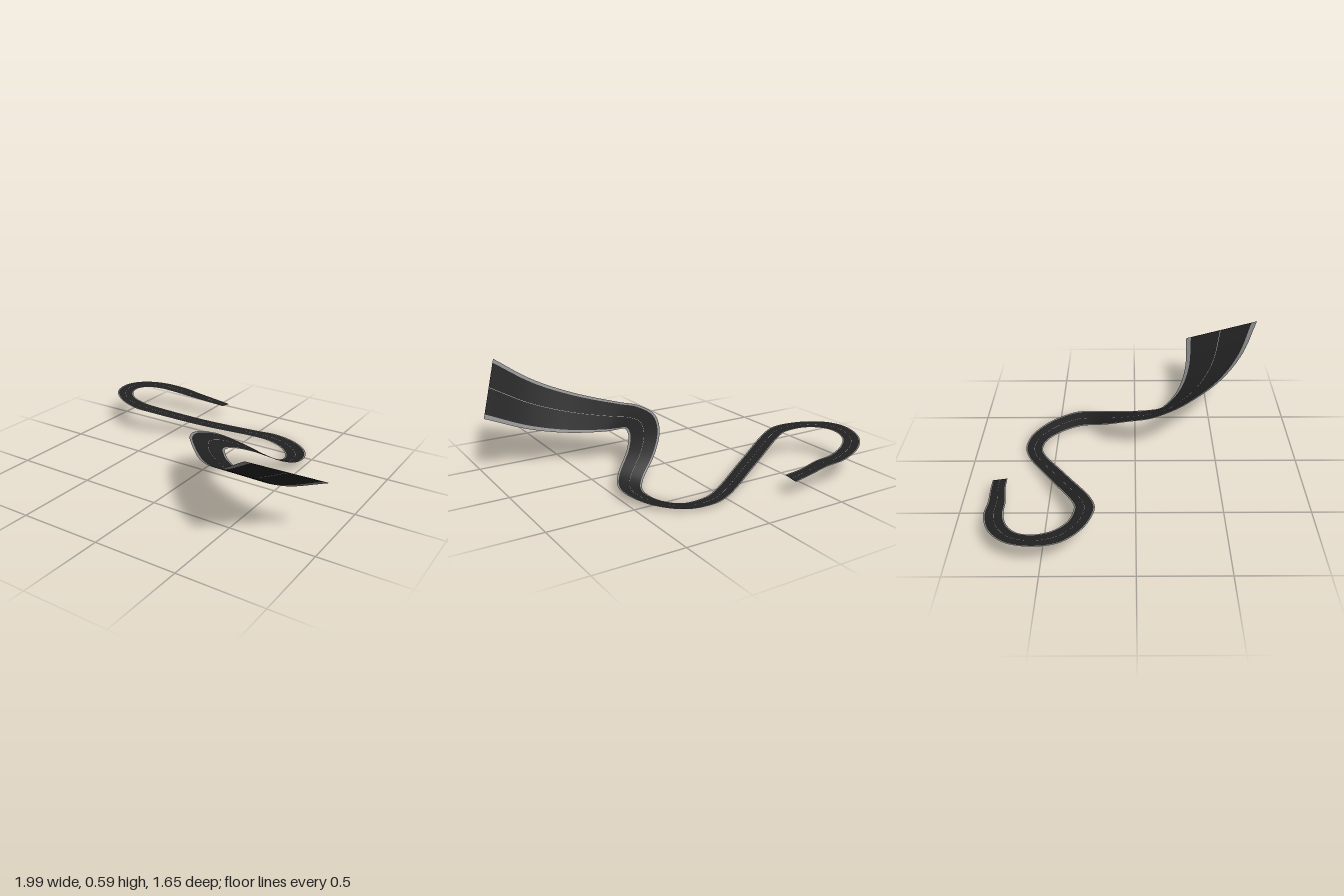
import * as THREE from 'three';

const STEPS = 260;

// Matching points along the two borders of the road, from its narrow end to its wide end
const borderA = [
  [-0.32, 0.097, -0.83], [-0.43, 0.113, -0.825], [-0.56, 0.133, -0.815], [-0.69, 0.148, -0.818],
  [-0.85, 0.173, -0.765], [-0.957, 0.193, -0.663], [-1, 0.207, -0.52], [-0.973, 0.207, -0.385],
  [-0.856, 0.2, -0.273], [-0.69, 0.187, -0.22], [-0.588, 0.173, -0.24], [-0.267, 0.092, -0.401],
  [0.053, 0.024, -0.572], [0.134, 0.013, -0.586], [0.24, 0.002, -0.56], [0.326, 0.006, -0.47],
  [0.358, 0.02, -0.38], [0.353, 0.033, -0.33], [0.32, 0.058, -0.283], [0.176, 0.158, -0.176],
  [0.07, 0.245, -0.053], [0.021, 0.3, 0.096], [0.06, 0.328, 0.225], [0.14, 0.335, 0.326],
  [0.35, 0.375, 0.545], [0.56, 0.457, 0.706], [0.765, 0.592, 0.818],
];
const borderB = [
  [-0.32, 0.11, -0.743], [-0.43, 0.118, -0.738], [-0.56, 0.135, -0.717], [-0.685, 0.146, -0.711],
  [-0.797, 0.167, -0.674], [-0.872, 0.184, -0.61], [-0.898, 0.196, -0.52], [-0.872, 0.199, -0.428],
  [-0.797, 0.195, -0.358], [-0.68, 0.184, -0.332], [-0.626, 0.175, -0.342], [-0.31, 0.092, -0.497],
  [0.01, 0.026, -0.663], [0.134, 0.019, -0.693], [0.285, 0.017, -0.663], [0.422, 0.03, -0.55],
  [0.492, 0.05, -0.4], [0.487, 0.063, -0.294], [0.438, 0.092, -0.208], [0.305, 0.175, -0.075],
  [0.235, 0.223, 0.037], [0.225, 0.236, 0.107], [0.257, 0.222, 0.145], [0.305, 0.21, 0.182],
  [0.508, 0.208, 0.283], [0.738, 0.253, 0.348], [0.993, 0.353, 0.369],
];

const toCurve = (points) =>
  new THREE.CatmullRomCurve3(points.map((p) => new THREE.Vector3(...p)));

// Ribbon covering the fraction f0..f1 of the width between both borders
function ribbon(name, curveA, curveB, f0, f1, color) {
  const positions = [];
  const index = [];
  for (let i = 0; i <= STEPS; i++) {
    const a = curveA.getPoint(i / STEPS);
    const b = curveB.getPoint(i / STEPS);
    for (const f of [f0, f1]) positions.push(...a.clone().lerp(b, f).toArray());
    if (i < STEPS) {
      const k = i * 2;
      index.push(k, k + 2, k + 1, k + 1, k + 2, k + 3);
    }
  }
  const geometry = new THREE.BufferGeometry();
  geometry.setAttribute('position', new THREE.Float32BufferAttribute(positions, 3));
  geometry.setIndex(index);
  geometry.computeVertexNormals();
  const material = new THREE.MeshStandardMaterial({ color, side: THREE.DoubleSide });
  const mesh = new THREE.Mesh(geometry, material);
  mesh.name = name;
  return mesh;
}

export function createModel() {
  const group = new THREE.Group();
  group.name = 'windingRoad';
  const a = toCurve(borderA);
  const b = toCurve(borderB);
  const asphalt = 0x222222;
  const kerb = 0x888888;

  // Kerbs, two lanes and the thin centre line side by side
  group.add(
    ribbon('rightKerb', a, b, 0, 0.07, kerb),
    ribbon('rightLane', a, b, 0.07, 0.496, asphalt),
    ribbon('centreLine', a, b, 0.496, 0.504, 0xaaaaaa),
    ribbon('leftLane', a, b, 0.504, 0.93, asphalt),
    ribbon('leftKerb', a, b, 0.93, 1, kerb),
  );
  return group;
}
